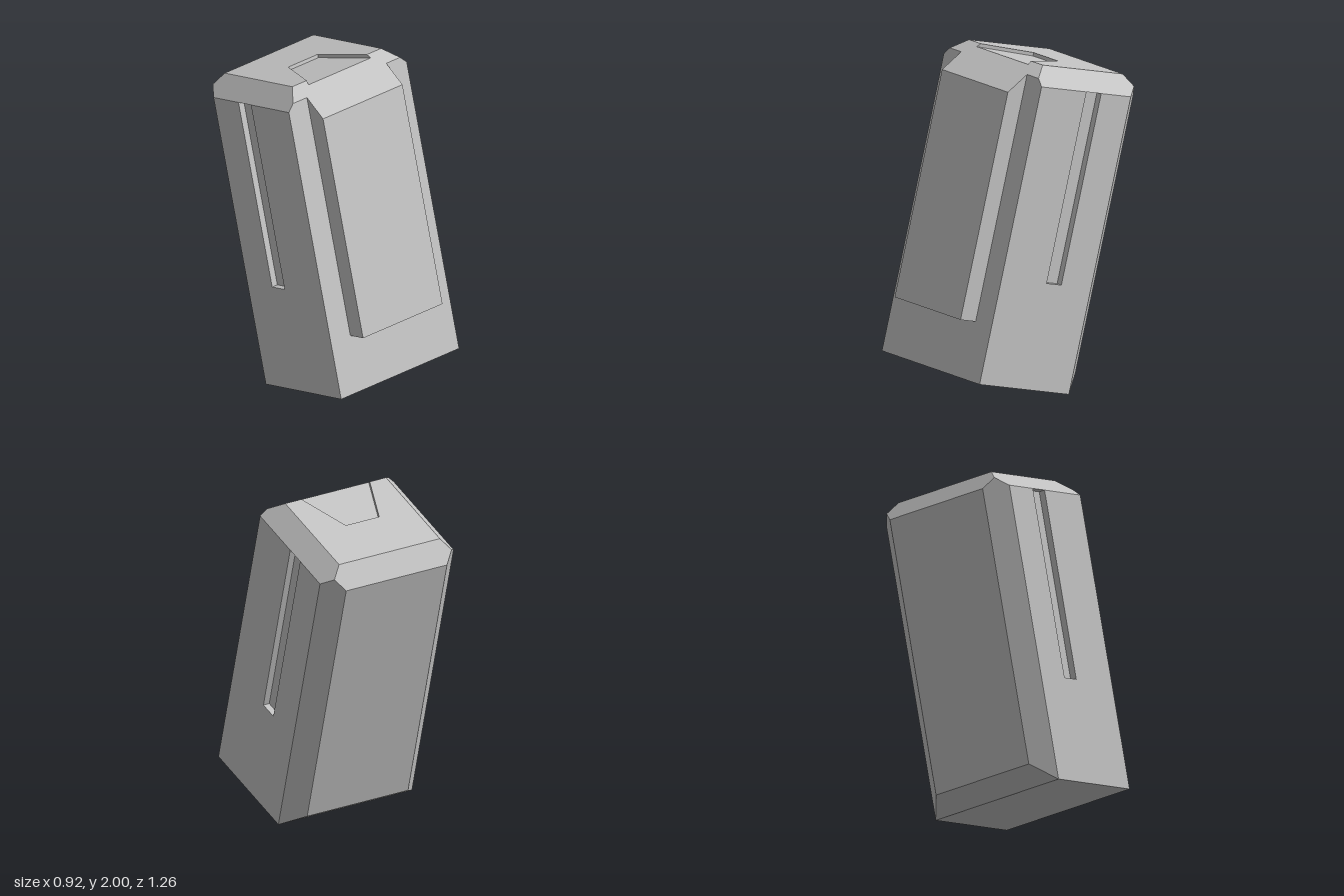
import * as THREE from 'three';

// Dimensions in the untilted frame: x across, y along the body, z to the front
const W = 0.46, LIP = 0.31, BEVEL = 0.113;
const BOTTOM = 0.015, TOP = 1.919, BACK = -0.167, FRONT = 0.637, LIP_FRONT = 0.754, LIP_BOTTOM = 0.361;
const SLOPE = 2.485; // front bevel plane: y + z = SLOPE
const TILT = -Math.PI / 12;

const A = W - BEVEL, SHOULDER = TOP - BEVEL, ZB = BACK + BEVEL, ZT = SLOPE - TOP;
const YF = SLOPE - FRONT, XF = W + SHOULDER - YF; // where the front face meets the bevels
const CORNER = [W - BEVEL / 2, TOP - BEVEL / 2, BACK + BEVEL / 2];

const flip = ([x, y, z]) => [-x, y, z];
const mirror = (points) => points.map(flip).reverse();
const sym = (half) => [...half, ...mirror(half)];          // face crossing the centre
const both = (faces) => [...faces, ...faces.map(mirror)];  // faces on each side

// Flat-shaded geometry from planar outlines, counter-clockwise from outside
function facesGeometry(faces) {
  const positions = [];
  for (const face of faces) {
    const pts = face.map((p) => new THREE.Vector3(...p));
    const normal = new THREE.Vector3();
    pts.forEach((p, i) => normal.add(new THREE.Vector3().crossVectors(p, pts[(i + 1) % pts.length])));
    normal.normalize();
    const u = pts[1].clone().sub(pts[0]).normalize();
    const v = new THREE.Vector3().crossVectors(normal, u);
    const outline = pts.map((p) => new THREE.Vector2(p.dot(u), p.dot(v)));
    for (const tri of THREE.ShapeUtils.triangulateShape(outline, [])) {
      for (const i of tri) positions.push(...face[i]);
    }
  }
  const geometry = new THREE.BufferGeometry();
  geometry.setAttribute('position', new THREE.Float32BufferAttribute(positions, 3));
  geometry.computeVertexNormals();
  return geometry;
}

export function createModel() {
  const grey = new THREE.MeshStandardMaterial({ color: 0xc4c4c4 });
  grey.name = 'lightGrey';
  const model = new THREE.Group();
  model.name = 'tiltedBlock';
  const tilted = new THREE.Group();
  tilted.name = 'body';
  tilted.rotation.x = TILT;
  model.add(tilted);
  const add = (name, faces) => {
    const mesh = new THREE.Mesh(facesGeometry(faces), grey);
    mesh.name = name;
    tilted.add(mesh);
  };

  // Outlines of the side groove and the tapered top recess
  const groove = [[SHOULDER, 0.175], [0.653, 0.175], [0.653, 0.289], [SHOULDER, 0.289]];
  const grooveAt = (x) => groove.map(([y, z]) => [x, y, z]);
  const outer = grooveAt(W), inner = grooveAt(W - 0.04);
  const depth = 0.021, floorY = TOP - depth;
  const rimBack = [0.115, TOP, 0.256], rimFront = [0.235, TOP, ZT];
  const floorBack = [0.115, floorY, 0.256];
  const floorFront = [0.235 + 0.12 * depth / (ZT - 0.256), floorY, ZT + depth];

  // Main shell with bevelled top and back edges
  add('shell', [
    sym([[W, BOTTOM, ZB], [W, BOTTOM, FRONT]]),                                  // bottom
    sym([[A, BOTTOM + BEVEL, BACK], [W, BOTTOM, ZB]]),                           // lower back bevel
    sym([[A, SHOULDER, BACK], [A, BOTTOM + BEVEL, BACK]]),                       // back
    sym([[A, TOP, ZB], CORNER, [A, SHOULDER, BACK]]),                            // upper back bevel
    sym([rimBack, rimFront, [A, TOP, ZT], [A, TOP, ZB]]),                        // top
    sym([[LIP, SLOPE - LIP_FRONT, LIP_FRONT], [LIP, YF, FRONT], [XF, YF, FRONT],
      [A, TOP, ZT], rimFront, floorFront]),                                      // front bevel
    sym([[W, BOTTOM, FRONT], [W, SHOULDER, FRONT], [XF, YF, FRONT],
      [LIP, YF, FRONT], [LIP, LIP_BOTTOM, FRONT]]),                              // front
    ...both([
      [[W, BOTTOM, FRONT], [W, BOTTOM, ZB], [W, SHOULDER, ZB], ...outer, [W, SHOULDER, FRONT]],
      [[W, SHOULDER, FRONT], [W, SHOULDER, ZB], CORNER, [A, TOP, ZB], [A, TOP, ZT], [XF, YF, FRONT]],
      [[W, BOTTOM, ZB], [A, BOTTOM + BEVEL, BACK], [A, SHOULDER, BACK], CORNER, [W, SHOULDER, ZB]],
    ]),
  ]);

  // Raised panel on the front
  add('frontPanel', [
    sym([[LIP, LIP_BOTTOM, FRONT], [LIP, LIP_BOTTOM, LIP_FRONT]]),
    sym([[LIP, LIP_BOTTOM, LIP_FRONT], [LIP, SLOPE - LIP_FRONT, LIP_FRONT]]),
    ...both([[[LIP, LIP_BOTTOM, LIP_FRONT], [LIP, LIP_BOTTOM, FRONT],
      [LIP, YF, FRONT], [LIP, SLOPE - LIP_FRONT, LIP_FRONT]]]),
  ]);

  // Long sunken groove on each side
  add('sideGrooves', both([
    [...inner].reverse(),
    ...outer.map((p, i) => {
      const j = (i + 1) % 4;
      return [outer[j], p, inner[i], inner[j]];
    }),
  ]));

  // Shallow tapered recess in the top
  add('topRecess', [
    sym([floorFront, floorBack]),
    sym([floorBack, rimBack]),
    ...both([[rimFront, rimBack, floorBack, floorFront]]),
  ]);

  return model;
}
